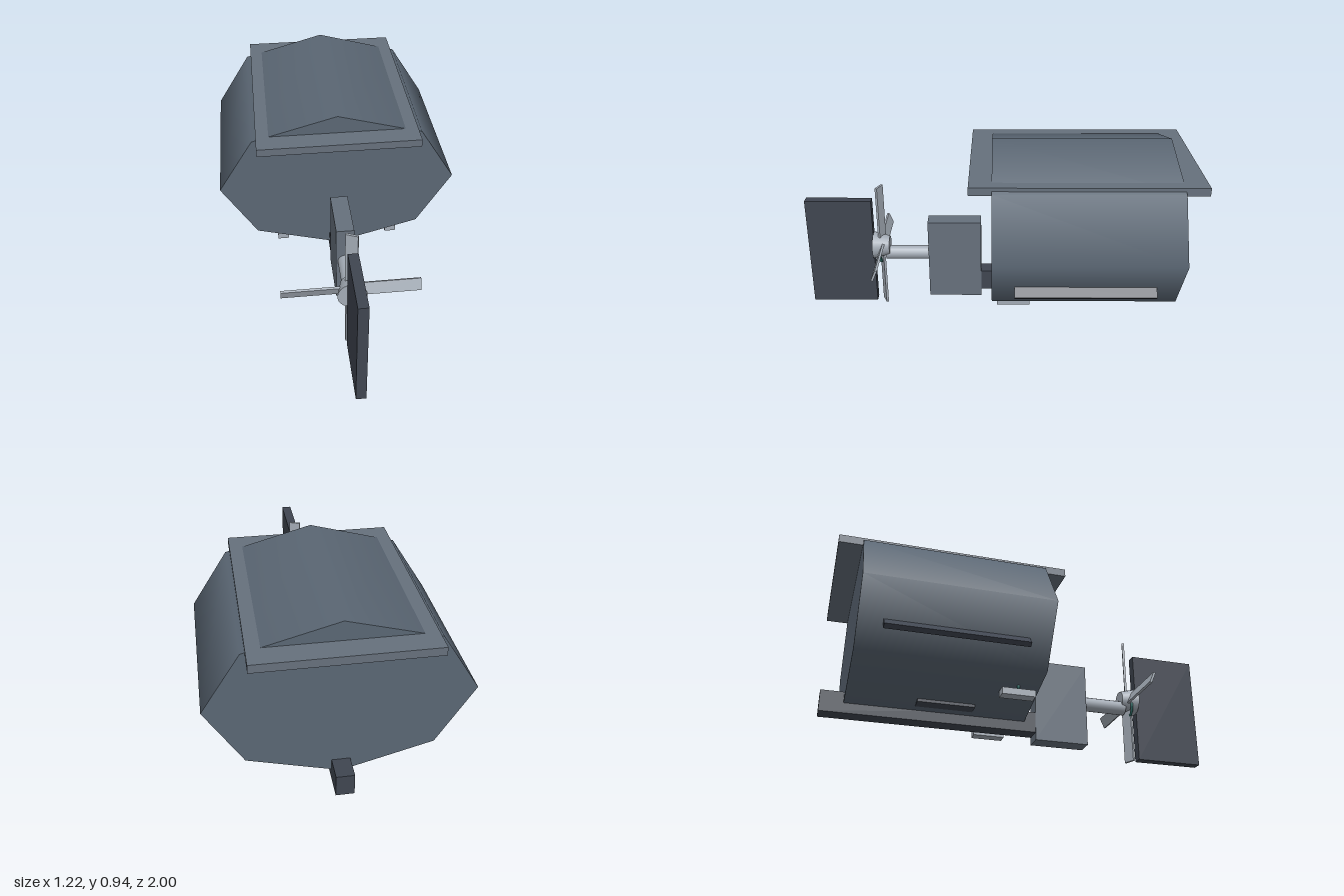
import * as THREE from 'three';

const mat = (color) => new THREE.MeshStandardMaterial({ color });

export function createModel() {
  const model = new THREE.Group();
  const slate = mat(0x5a6673), deckGrey = mat(0x66707c), dark = mat(0x3f4550);
  const metal = mat(0xa3abb5), teal = mat(0x2f6b66);

  const add = (name, geometry, material, x, y, z, parent = model) => {
    const mesh = new THREE.Mesh(geometry, material);
    mesh.name = name;
    mesh.position.set(x, y, z);
    parent.add(mesh);
    return mesh;
  };
  // Box given by its limits on each axis
  const box = (name, material, [x0, x1], [y0, y1], [z0, z1]) =>
    add(name, new THREE.BoxGeometry(x1 - x0, y1 - y0, z1 - z0), material,
      (x0 + x1) / 2, (y0 + y1) / 2, (z0 + z1) / 2);
  // Cylinder lying along z
  const zCylinder = (rFront, rBack, length, sides) =>
    new THREE.CylinderGeometry(rFront, rBack, length, sides).rotateX(Math.PI / 2);

  // Eight-sided hull and the deck plate around its crown
  add('hull', zCylinder(1, 1, 0.905, 8).scale(0.61, 0.405, 1), slate, 0, 0.54, -0.433);
  box('deck', deckGrey, [-0.41, 0.41], [0.81, 0.85], [-1, 0.13]);

  // Keel, skeg and bottom plate
  box('keel', dark, [-0.043, 0.043], [0.095, 0.203], [-1, 0.08]);
  box('skeg', deckGrey, [-0.045, 0.045], [0.055, 0.493], [0.08, 0.36]);
  box('bottomPlate', dark, [-0.14, 0.14], [0.155, 0.17], [-0.545, -0.26]);

  // Side fins and pads with their ring mounts
  for (const s of [-1, 1]) {
    const fin = add('bilgeKeel', new THREE.BoxGeometry(0.08, 0.025, 0.68), dark, s * 0.508, 0.362, -0.43);
    fin.rotation.z = -s * 0.84;
    box('pad', metal, [s * 0.295 - 0.029, s * 0.295 + 0.029], [0.166, 0.2], [-0.172, -0.005]);
    add('padRing', new THREE.TorusGeometry(0.014, 0.008, 8, 20), teal, s * 0.295, 0.215, -0.088);
  }

  // Propeller shaft, hub and ring
  add('shaft', zCylinder(0.037, 0.037, 0.24, 16), metal, 0, 0.298, 0.47);
  add('hub', zCylinder(0.073, 0.05, 0.087, 20), metal, 0, 0.34, 0.612);
  add('hubRing', new THREE.TorusGeometry(0.053, 0.007, 8, 28), teal, 0, 0.3, 0.618);

  // Four pitched blades
  const propeller = new THREE.Group();
  propeller.name = 'propeller';
  propeller.position.set(0, 0.34, 0.61);
  for (let i = 0; i < 4; i++) {
    const arm = new THREE.Group();
    arm.name = 'bladeArm';
    arm.rotation.z = i * Math.PI / 2;
    const blade = add('blade', new THREE.BoxGeometry(0.32, 0.061, 0.012), metal, 0.18, 0, 0, arm);
    blade.rotation.x = -0.4;
    propeller.add(arm);
  }
  model.add(propeller);

  // Rudder
  box('rudder', dark, [-0.025, 0.025], [0.01, 0.605], [0.653, 1]);

  return model;
}
